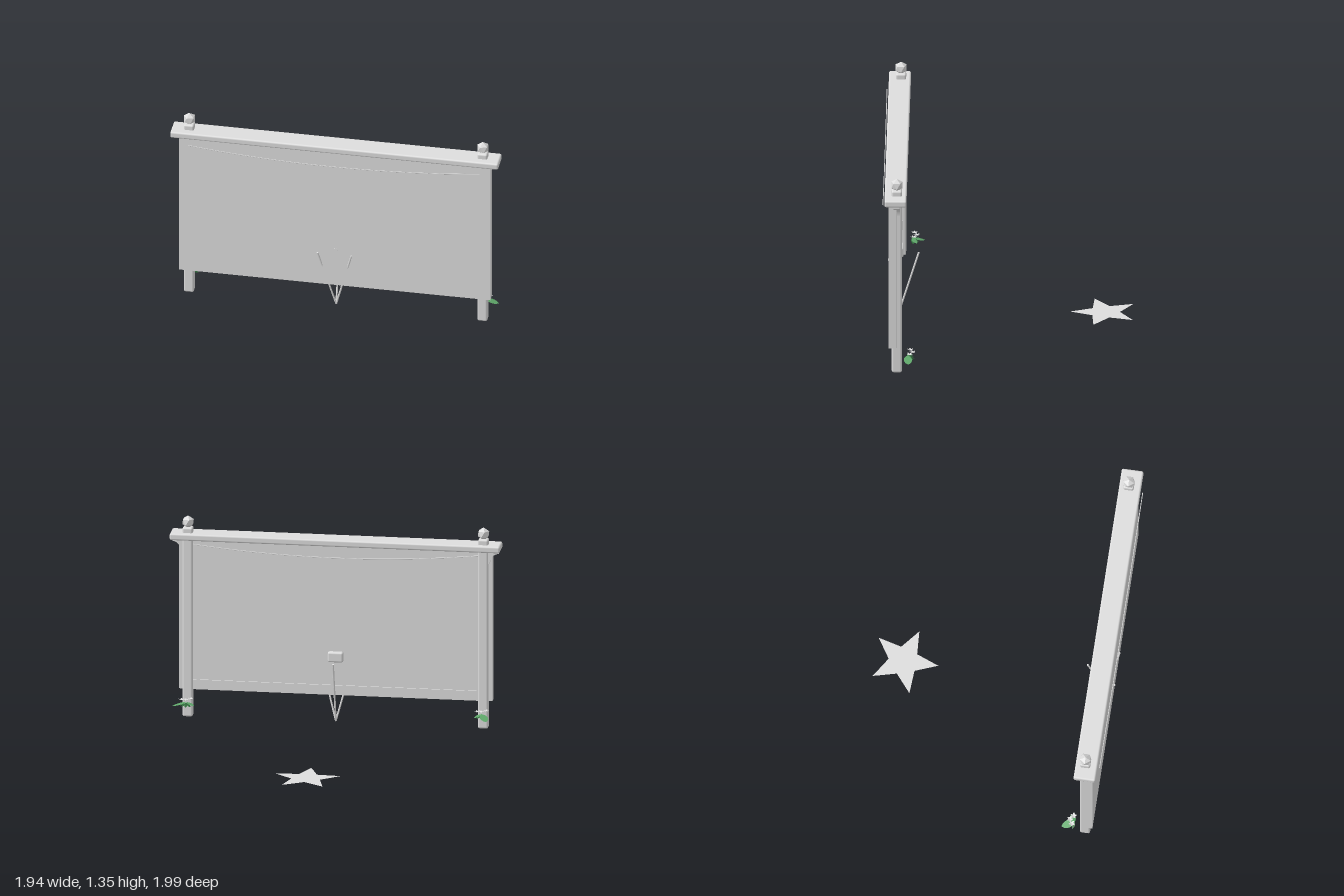
import * as THREE from 'three';
import { RoundedBoxGeometry } from 'three/addons/geometries/RoundedBoxGeometry.js';

export function createModel() {
  const material = (name, color, side = THREE.FrontSide) => {
    const m = new THREE.MeshStandardMaterial({ color, side });
    m.name = name;
    return m;
  };
  const grey = material('light grey', 0xdddddd);
  const facetGrey = grey;
  const sheet = material('light grey sheet', 0xdddddd, THREE.DoubleSide);
  const green = material('leaf green', 0x5fa86a, THREE.DoubleSide);
  const darkGreen = material('dark leaf green', 0x2f6b3a, THREE.DoubleSide);

  const model = new THREE.Group();
  const screen = new THREE.Group();
  screen.name = 'standingScreen';
  screen.position.set(-0.1, 0, 0.245);
  screen.rotation.y = -0.694;
  model.add(screen);

  const add = (name, geometry, mat, x = 0, y = 0, z = 0, parent = screen) => {
    const mesh = new THREE.Mesh(geometry, mat);
    mesh.name = name;
    mesh.position.set(x, y, z);
    parent.add(mesh);
    return mesh;
  };
  const rounded = (w, h, d, r) => new RoundedBoxGeometry(w, h, d, 2, r);

  // Panel, lower rail and top beam
  add('panel', new THREE.BoxGeometry(2.04, 1.01, 0.053), grey, 0, 0.685, 0.0265);
  add('lowerRail', new THREE.BoxGeometry(1.86, 0.065, 0.008), grey, 0, 0.2125, -0.004);
  add('topBeam', rounded(2.15, 0.045, 0.142, 0.012), grey, 0, 1.2125, 0.008);

  // Curved bracket profile: concave quarter under the beam
  const bracketShape = new THREE.Shape();
  bracketShape.moveTo(0, 0);
  bracketShape.lineTo(0.075, 0);
  bracketShape.lineTo(0.075, -0.015);
  bracketShape.quadraticCurveTo(0.02, -0.025, 0.014, -0.085);
  bracketShape.lineTo(0, -0.085);
  const bracketGeometry = new THREE.ExtrudeGeometry(bracketShape, { depth: 0.04, bevelEnabled: false, curveSegments: 8 });
  bracketGeometry.translate(0, 0, -0.02);

  // Faceted finial with one corner pointing up
  const finialGeometry = new THREE.IcosahedronGeometry(0.042, 0);
  finialGeometry.rotateZ(Math.atan(2 / (1 + Math.sqrt(5))));

  // Leaf: pointed oval lying along +x
  const leafShape = new THREE.Shape();
  leafShape.moveTo(0, 0);
  leafShape.bezierCurveTo(0.25, 0.42, 0.75, 0.42, 1, 0);
  leafShape.bezierCurveTo(0.75, -0.42, 0.25, -0.42, 0, 0);
  const leafGeometry = new THREE.ShapeGeometry(leafShape, 6);
  leafGeometry.rotateX(-Math.PI / 2);
  const leaf = (name, parent, mat, length, width, angle, tilt, x, y, z) => {
    const m = add(name, leafGeometry, mat, x, y, z, parent);
    m.rotation.set(0, angle, tilt);
    m.scale.set(length, 1, width);
  };

  for (const s of [-1, 1]) {
    const x = s * 0.962;
    add('post', rounded(0.066, 1.27, 0.066, 0.012), grey, x, 0.635, 0);
    add('finial', finialGeometry, facetGrey, x, 1.303, 0);
    const bracket = add('bracket', bracketGeometry, grey, s * 0.99, 1.193, 0);
    if (s < 0) bracket.rotation.y = Math.PI;

    // Leafy flower cluster behind the post
    const plant = new THREE.Group();
    plant.name = 'plant';
    plant.position.set(x, 0.11, -0.07);
    screen.add(plant);
    const broad = s < 0 ? [2.0, 0.6] : [0.05, 2.7];
    broad.forEach((a, i) => leaf('broadLeaf', plant, green, i ? 0.06 : 0.095, i ? 0.055 : 0.085, a, -0.3, 0, 0, 0));
    for (let i = 0; i < 5; i++) {
      leaf('underLeaf', plant, darkGreen, 0.05, 0.03, 0.2 + i * 0.68, -0.35, 0, -0.006, 0);
    }
    for (let f = 0; f < 3; f++) {
      const a = 0.4 + f * 1.1;
      for (let i = 0; i < 5; i++) {
        leaf('petal', plant, sheet, 0.023, 0.02, i * 1.257 + f, 0.4,
          0.032 * Math.cos(a), 0.015 + 0.004 * f, -0.032 * Math.sin(a));
      }
    }
  }

  // Hanging cords on both faces
  for (const [half, z] of [[0.955, 0.09], [0.93, -0.008]]) {
    const cord = new THREE.QuadraticBezierCurve3(
      new THREE.Vector3(-half, 1.155, z), new THREE.Vector3(0, 1.047, z), new THREE.Vector3(half, 1.155, z));
    add('cord', new THREE.TubeGeometry(cord, 32, 0.003, 5), grey);
  }

  // Three thin struts spreading upward from one foot
  const foot = new THREE.Vector3(0, 0.004, 0);
  for (let i = 0; i < 3; i++) {
    const a = -Math.PI / 2 + i * Math.PI * 2 / 3;
    const tip = new THREE.Vector3(0.128 * Math.cos(a), 0.42, 0.128 * Math.sin(a));
    const dir = tip.clone().sub(foot);
    const mid = foot.clone().add(tip).multiplyScalar(0.5);
    const strut = add('strut', new THREE.CylinderGeometry(0.006, 0.006, dir.length(), 8), grey, mid.x, mid.y, mid.z);
    strut.quaternion.setFromUnitVectors(new THREE.Vector3(0, 1, 0), dir.normalize());
  }

  // Small block with a round barrel
  add('block', rounded(0.1, 0.068, 0.05, 0.012), grey, 0, 0.437, -0.005);
  const barrel = add('barrel', new THREE.CylinderGeometry(0.022, 0.022, 0.055, 16), grey, 0, 0.437, 0.0265);
  barrel.rotation.x = Math.PI / 2;

  // Flat star on the ground
  const starShape = new THREE.Shape();
  for (let i = 0; i < 10; i++) {
    const a = Math.PI / 2 - 0.07 + i * Math.PI / 5;
    const r = i % 2 ? 0.098 : 0.226;
    starShape[i ? 'lineTo' : 'moveTo'](r * Math.cos(a), r * Math.sin(a));
  }
  const star = add('star', new THREE.ShapeGeometry(starShape), sheet, 0.75, 0.012, -0.774, model);
  star.rotation.x = -Math.PI / 2;

  return model;
}
